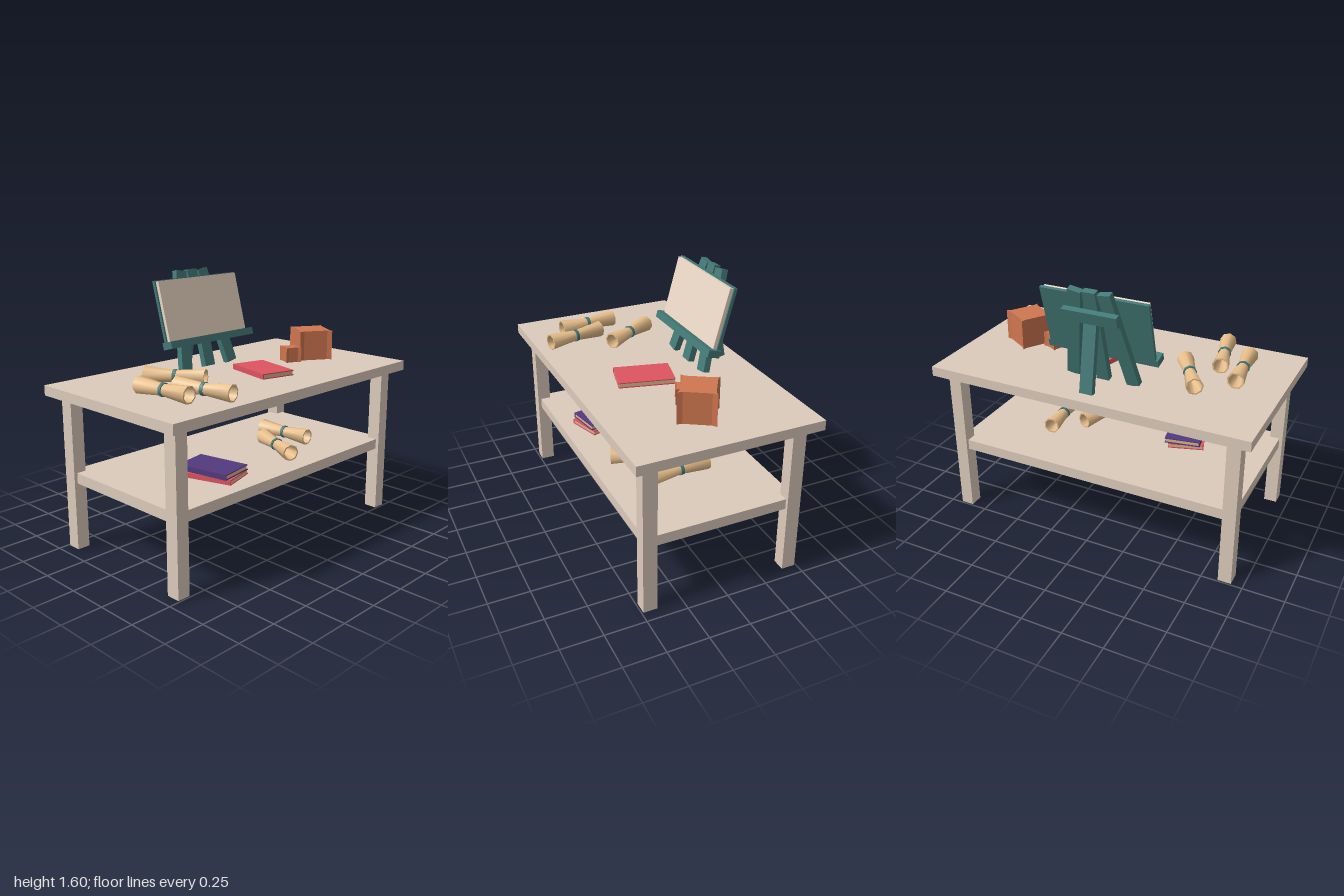
import * as THREE from 'three';
import { toCreasedNormals } from 'three/addons/utils/BufferGeometryUtils.js';

const material = (color, extra = {}) => {
  const m = new THREE.MeshStandardMaterial(extra);
  m.color.set(color);
  return m;
};
const wood = material(0xdccbbb);
const teal = material(0x447a78);
const canvasCream = material(0xecd9c6);
const clay = material(0xcf7650);
const red = material(0xdd5560);
const purple = material(0x523a7e);
const pages = material(0xdfb48f);
const parchment = material(0xe8bf8c, { side: THREE.DoubleSide });

function add(parent, name, geometry, mat) {
  const mesh = new THREE.Mesh(geometry, mat);
  mesh.name = name;
  parent.add(mesh);
  return mesh;
}

// Box given by its limits on each axis
function box(parent, name, mat, [x0, x1], [y0, y1], [z0, z1]) {
  const mesh = add(parent, name, new THREE.BoxGeometry(x1 - x0, y1 - y0, z1 - z0), mat);
  mesh.position.set((x0 + x1) / 2, (y0 + y1) / 2, (z0 + z1) / 2);
  return mesh;
}

function subgroup(parent, name) {
  const g = new THREE.Group();
  g.name = name;
  parent.add(g);
  return g;
}

function buildTable(root) {
  const table = subgroup(root, 'table');
  box(table, 'tableTop', wood, [-1, 1], [0.94, 1], [-0.555, 0.555]);
  box(table, 'lowerShelf', wood, [-0.91, 0.91], [0.415, 0.48], [-0.47, 0.47]);
  for (const sx of [-1, 1]) for (const sz of [-1, 1]) {
    const leg = add(table, 'tableLeg', new THREE.BoxGeometry(0.08, 0.94, 0.085), wood);
    leg.position.set(sx * 0.89, 0.47, sz * 0.4475);
  }
}

function buildEasel(root) {
  const easel = subgroup(root, 'easel');
  // Leaning front frame: local y runs up the slope
  const frame = subgroup(easel, 'easelFrame');
  frame.position.set(0, 1, -0.235);
  frame.rotation.x = -0.268;
  box(frame, 'middleLeg', teal, [-0.04, 0.04], [0.005, 0.617], [-0.02, 0.02]);
  for (const s of [-1, 1]) {
    const leg = add(frame, 'sideLeg', new THREE.BoxGeometry(0.08, 0.615, 0.04), teal);
    leg.position.set(s * 0.142, 0.31, 0);
    leg.rotation.z = s * 0.172;
  }
  box(frame, 'backBoard', teal, [-0.335, 0.335], [0.17, 0.567], [0.02, 0.04]);
  box(frame, 'canvas', canvasCream, [-0.325, 0.325], [0.194, 0.56], [0.04, 0.062]);
  box(frame, 'tray', teal, [-0.35, 0.35], [0.15, 0.194], [0.02, 0.099]);
  box(frame, 'crossbar', teal, [-0.17, 0.17], [0.433, 0.505], [-0.057, -0.02]);
  // Rear strut
  const strut = add(easel, 'rearStrut', new THREE.BoxGeometry(0.08, 0.43, 0.038), teal);
  strut.position.set(0, 1.213, -0.416);
  strut.rotation.x = 0.17;
}

// Rolled scroll between two points on the floor plane, narrow at its waist
function buildScroll(root, floor, [ax, az], [bx, bz]) {
  const scroll = subgroup(root, 'scroll');
  const dir = new THREE.Vector3(bx - ax, 0, bz - az);
  const h = dir.length() / 2;
  scroll.position.set((ax + bx) / 2, floor + 0.048, (az + bz) / 2);
  scroll.quaternion.setFromUnitVectors(new THREE.Vector3(0, 1, 0), dir.normalize());
  const profile = [[0.052, -h], [0.034, 0], [0.052, h], [0.043, h], [0.018, 0], [0.043, -h], [0.052, -h]];
  const roll = new THREE.LatheGeometry(profile.map(p => new THREE.Vector2(...p)), 8, Math.PI / 8);
  add(scroll, 'paperRoll', toCreasedNormals(roll, 1), parchment);
  const band = new THREE.CylinderGeometry(0.04, 0.04, 0.02, 8, 1, false, Math.PI / 8);
  add(scroll, 'ribbon', toCreasedNormals(band, 1), teal);
}

// Closed book with its spine on the -x side
function buildBook(root, mat, x, y, z, turn, thick = 0.033) {
  const book = subgroup(root, 'book');
  book.position.set(x, y, z);
  book.rotation.y = turn;
  const cover = 0.006, w = 0.11, d = 0.167;
  box(book, 'bottomCover', mat, [-w, w], [0, cover], [-d, d]);
  box(book, 'topCover', mat, [-w, w], [thick - cover, thick], [-d, d]);
  box(book, 'spine', mat, [-w, -w + cover], [cover, thick - cover], [-d, d]);
  box(book, 'pages', pages, [-w + cover, w - 0.004], [cover, thick - cover], [-d + 0.004, d - 0.004]);
}

// Square block whose corners flare out into small points
function buildBlock(root, name, x, z, radius, height, tipAngle, notch, inset) {
  const h = radius / Math.SQRT2;
  const points = [];
  for (let k = 0; k < 4; k++) {
    const turn = tipAngle - Math.PI / 4 + k * Math.PI / 2;
    for (const [px, py] of [[h - inset, h - notch], [h, h], [h - notch, h - inset]]) {
      points.push(new THREE.Vector2(px, py).rotateAround(new THREE.Vector2(), turn));
    }
  }
  const geometry = new THREE.ExtrudeGeometry(new THREE.Shape(points), { depth: height, bevelEnabled: false });
  geometry.rotateX(-Math.PI / 2);
  add(root, name, geometry, clay).position.set(x, 1, z);
}

export function createModel() {
  const root = new THREE.Group();
  root.name = 'artTable';
  buildTable(root);
  buildEasel(root);

  // Scrolls on the table top and on the shelf
  buildScroll(root, 1, [-0.73, -0.03], [-0.695, 0.342]);
  buildScroll(root, 1, [-0.548, -0.198], [-0.364, 0.12]);
  buildScroll(root, 1, [-0.586, 0.118], [-0.508, 0.48]);
  buildScroll(root, 0.48, [0.27, -0.005], [0.13, 0.345]);
  buildScroll(root, 0.48, [0.425, -0.155], [0.45, 0.21]);

  // Books on the table top and stacked on the shelf
  buildBook(root, red, 0.12, 1, 0.117, -0.24);
  buildBook(root, red, -0.373, 0.48, 0.19, 0.3, 0.031);
  buildBook(root, purple, -0.373, 0.511, 0.182, 0.18);

  // Clay blocks
  buildBlock(root, 'largeBlock', 0.67, 0.043, 0.153, 0.19, 0.23, 0.03, 0.011);
  buildBlock(root, 'smallBlock', 0.48, 0.032, 0.073, 0.095, 0.36, 0.02, 0.009);
  return root;
}
